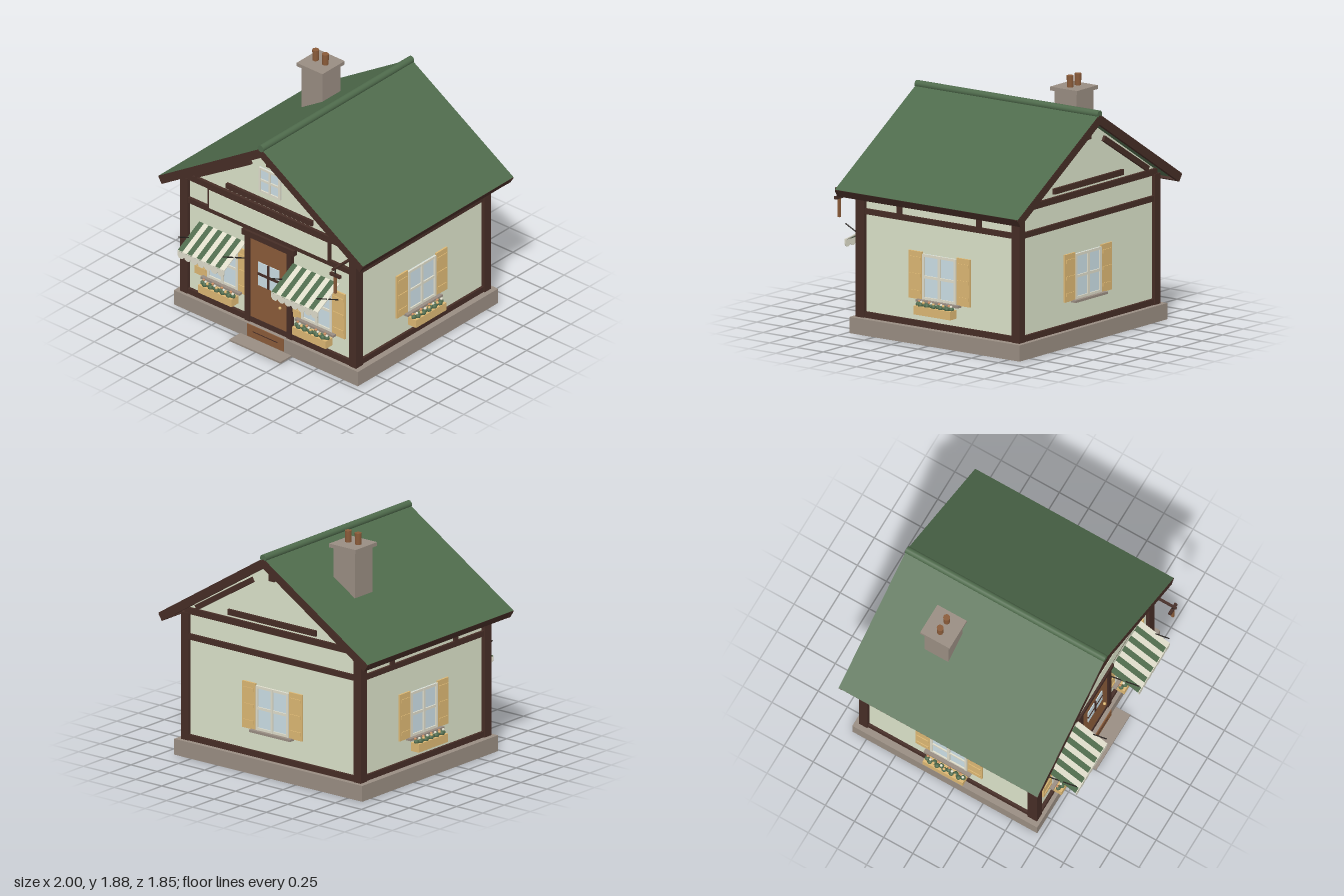
import * as THREE from 'three';

const mat = (name, color) => Object.assign(new THREE.MeshStandardMaterial({ color }), { name });

export function createModel() {
  const wall = mat('pale plaster', 0xdbe2c9), trim = mat('dark timber', 0x462d26);
  const green = mat('roof green', 0x4f6b4c), stone = mat('grey stone', 0x998d82);
  const wood = mat('door wood', 0x8a5b39), tan = mat('shutter tan', 0xdcb773);
  const glass = mat('window glass', 0xcbdee5), cream = mat('cream', 0xdfddcb);
  const iron = mat('dark iron', 0x2b2622), blossom = mat('blossom', 0xc98d62);

  const model = new THREE.Group();
  model.name = 'cottage';

  const add = (parent, name, geo, material, x = 0, y = 0, z = 0) => {
    const m = new THREE.Mesh(geo, material);
    m.name = name;
    m.position.set(x, y, z);
    parent.add(m);
    return m;
  };
  // Box given by its limits on each axis
  const box = (p, name, m, x0, x1, y0, y1, z0, z1) =>
    add(p, name, new THREE.BoxGeometry(x1 - x0, y1 - y0, z1 - z0), m, (x0 + x1) / 2, (y0 + y1) / 2, (z0 + z1) / 2);
  // Outline pushed along z
  const prism = (p, name, m, pts, z0, z1) =>
    add(p, name, new THREE.ExtrudeGeometry(new THREE.Shape(pts.map(([x, y]) => new THREE.Vector2(x, y))),
      { depth: z1 - z0, bevelEnabled: false }), m, 0, 0, z0);
  // Thin round bar between two points
  const rod = (p, name, m, a, b, r) => {
    const A = new THREE.Vector3(...a), B = new THREE.Vector3(...b), d = B.clone().sub(A);
    const mesh = add(p, name, new THREE.CylinderGeometry(r, r, d.length(), 8), m);
    mesh.position.copy(A).add(B).multiplyScalar(0.5);
    mesh.quaternion.setFromUnitVectors(new THREE.Vector3(0, 1, 0), d.normalize());
  };

  // Base, walls and front step
  box(model, 'foundation', stone, -0.9, 0.9, 0.012, 0.135, -0.87, 0.715);
  box(model, 'underside', wood, -0.83, 0.83, 0.006, 0.03, -0.81, 0.66);
  box(model, 'frontStep', stone, -0.25, 0.25, 0.008, 0.022, 0.66, 0.84);
  prism(model, 'walls', wall, [[-0.83, 0.13], [0.83, 0.13], [0.83, 1.155], [0, 1.675], [-0.83, 1.155]], -0.81, 0.66);

  // Roof: green slab with timber ends, and bargeboards just under its top
  const chevron = (top, t) => [[-1, 1.11], [-1 + t * 0.5, 1.11 - t * 0.78], [0, 1.735 - t * 1.09],
    [1 - t * 0.5, 1.11 - t * 0.78], [1, 1.11], [0, 1.735]].map(([x, y]) => [x, y - top]);
  prism(model, 'roof', [trim, green], chevron(0, 0.05), -0.929, 0.774);
  prism(model, 'frontBargeboard', trim, chevron(0.008, 0.065), 0.745, 0.775);
  prism(model, 'backBargeboard', trim, chevron(0.008, 0.065), -0.93, -0.9);
  for (const s of [-1, 1]) {
    const pts = [[s * 0.99, 1.115], [s, 1.108], [s * 0.966, 1.052], [s * 0.951, 1.062]];
    prism(model, 'eaveFascia', trim, s < 0 ? pts.reverse() : pts, -0.928, 0.773);
  }
  add(model, 'ridgeCap', new THREE.CylinderGeometry(0.028, 0.028, 1.705, 16), green, 0, 1.735, -0.077).rotation.x = Math.PI / 2;

  // Chimney with two pots
  box(model, 'chimney', stone, -0.51, -0.305, 1.3, 1.78, -0.48, -0.275);
  box(model, 'chimneyCap', stone, -0.535, -0.282, 1.773, 1.802, -0.502, -0.25);
  for (const x of [-0.457, -0.362])
    add(model, 'chimneyPot', new THREE.CylinderGeometry(0.026, 0.024, 0.09, 16), wood, x, 1.845, -0.376);

  // Corner posts and horizontal beams
  for (const s of [-1, 1]) {
    const [a, b] = s < 0 ? [-0.86, -0.79] : [0.79, 0.86];
    box(model, 'cornerPost', trim, a, b, 0.13, 1.125, 0.61, 0.69);
    box(model, 'cornerPost', trim, a, b, 0.13, 1.125, -0.837, -0.765);
    const [c, d] = s < 0 ? [-0.85, -0.8] : [0.8, 0.85];
    box(model, 'sideSillBeam', trim, c, d, 0.132, 0.18, -0.8, 0.65);
    box(model, 'sideMiddleBeam', trim, c, d, 0.92, 0.962, -0.8, 0.65);
    box(model, 'sideTopBeam', trim, c, d, 1.055, 1.11, -0.8, 0.65);
    for (const z of [0.295, -0.447]) box(model, 'sideStud', trim, c, d, 0.95, 1.08, z - 0.021, z + 0.021);
  }
  // Gable timbers, front and back
  for (const [z0, z1] of [[0.64, 0.685], [-0.832, -0.79]]) {
    box(model, 'sillBeam', trim, -0.82, 0.82, 0.135, 0.18, z0, z1);
    box(model, 'middleBeam', trim, -0.82, 0.82, 0.92, 0.963, z0, z1);
    box(model, 'tieBeam', trim, -0.83, 0.83, 1.118, 1.166, z0, z1);
    box(model, 'gableBar', trim, -0.42, 0.42, 1.187, 1.23, z0, z1);
    box(model, 'kingPost', trim, -0.026, 0.026, 1.53, 1.68, z0, z1);
    for (const s of [-1, 1]) {
      const brace = add(model, 'gableBrace', new THREE.BoxGeometry(0.63, 0.042, z1 - z0), trim, s * 0.456, 1.342, (z0 + z1) / 2);
      brace.rotation.z = -s * 0.545;
    }
  }
  // Front frieze panel with a thin border
  box(model, 'friezeBorder', trim, -0.595, 0.595, 0.945, 1.13, 0.65, 0.686);
  box(model, 'friezePanel', wall, -0.58, 0.58, 0.958, 1.112, 0.66, 0.69);

  // Four-pane window; z = 0 is the wall face
  const panes = (p, x0, x1, y0, y1, b) => {
    const cx = (x0 + x1) / 2, cy = (y0 + y1) / 2, h = b / 2;
    box(p, 'windowGlass', glass, x0, x1, y0, y1, 0, 0.006);
    for (const [a, c] of [[x0, x0 + b], [cx - h, cx + h], [x1 - b, x1]]) box(p, 'windowUpright', cream, a, c, y0, y1, 0, 0.018);
    for (const [a, c] of [[y0, y0 + b], [cy - h, cy + h], [y1 - b, y1]]) box(p, 'windowRail', cream, x0, x1, a, c, 0, 0.016);
  };

  // Shuttered window with sill and optional flower box
  const shutteredWindow = (name, x, z, turn, { half = 0.157, shutterX = 0.223, y0 = 0.342, y1 = 0.703, flowers = true } = {}) => {
    const g = new THREE.Group();
    g.name = name;
    g.position.set(x, 0, z);
    g.rotation.y = turn;
    model.add(g);
    panes(g, -half, half, 0.345, 0.69, 0.02);
    for (const s of [-1, 1]) {
      const sx = s * shutterX;
      box(g, 'shutter', tan, sx - 0.062, sx + 0.062, y0, y1, 0, 0.014);
      for (const t of [0.15, 0.5, 0.85]) {
        const y = y0 + t * (y1 - y0);
        box(g, 'shutterBatten', tan, sx - 0.05, sx + 0.05, y - 0.013, y + 0.013, 0.01, 0.02);
      }
    }
    box(g, 'windowSill', stone, -half - 0.04, half + 0.04, 0.328, 0.346, 0, 0.045);
    if (!flowers) return;
    const w = half + 0.014;
    box(g, 'flowerBox', tan, -w, w, 0.245, 0.31, 0.025, 0.102);
    for (let i = 0; i < 11; i++) {
      const fx = (i - 5) * w * 0.18;
      add(g, 'leaves', new THREE.IcosahedronGeometry(0.02, 1), green, fx, 0.318, 0.065 + (i % 2) * 0.015);
      add(g, 'flower', new THREE.IcosahedronGeometry(0.011, 1), [blossom, cream, tan][i % 3], fx, 0.338, 0.055 + (i % 3) * 0.014);
    }
  };
  const front = { half: 0.15, shutterX: 0.212, y0: 0.332, y1: 0.716 };
  shutteredWindow('frontRightWindow', -0.46, 0.66, 0, front);
  shutteredWindow('frontLeftWindow', 0.46, 0.66, 0, front);
  shutteredWindow('leftWindow', 0.83, -0.077, Math.PI / 2);
  shutteredWindow('rightWindow', -0.83, -0.077, -Math.PI / 2);
  shutteredWindow('backWindow', 0, -0.81, Math.PI, { flowers: false });

  const attic = new THREE.Group();
  attic.name = 'gableWindow';
  attic.position.z = 0.66;
  model.add(attic);
  panes(attic, -0.105, 0.105, 1.283, 1.492, 0.017);

  // Door with frame, panes and knob
  box(model, 'door', wood, -0.18, 0.18, 0.18, 0.87, 0.64, 0.68);
  box(model, 'doorKickBoard', wood, -0.178, 0.178, 0.03, 0.134, 0.7, 0.722);
  box(model, 'kickBoardGroove', trim, -0.12, 0.12, 0.083, 0.089, 0.72, 0.725);
  for (const s of [-1, 1]) box(model, 'doorJamb', trim, s * 0.204 - 0.024, s * 0.204 + 0.024, 0.135, 0.875, 0.64, 0.692);
  box(model, 'doorLintel', trim, -0.255, 0.255, 0.866, 0.913, 0.64, 0.698);
  const doorWindow = new THREE.Group();
  doorWindow.name = 'doorWindow';
  doorWindow.position.z = 0.68;
  model.add(doorWindow);
  for (const sx of [-1, 1]) for (const sy of [-1, 1])
    box(doorWindow, 'doorPane', glass, sx * 0.056 - 0.046, sx * 0.056 + 0.046, 0.58 + sy * 0.056 - 0.044, 0.58 + sy * 0.056 + 0.044, 0, 0.006);
  box(doorWindow, 'doorMullion', trim, -0.01, 0.01, 0.48, 0.68, 0, 0.009);
  box(doorWindow, 'doorMullion', trim, -0.105, 0.105, 0.569, 0.591, 0, 0.009);
  add(model, 'doorKnob', new THREE.SphereGeometry(0.012, 12, 8), tan, 0.12, 0.37, 0.695);

  // Striped awnings with scalloped valance and support rods
  const stripes = 10, scallops = 7, width = 0.455;
  for (const cx of [-0.458, 0.458]) {
    const g = new THREE.Group();
    g.name = 'awning';
    g.position.x = cx;
    model.add(g);
    const w = width / stripes;
    for (let i = 0; i < stripes; i++) {
      const s = add(g, 'awningStripe', new THREE.BoxGeometry(w, 0.008, 0.285), i % 2 ? cream : green,
        -width / 2 + (i + 0.5) * w, 0.722, 0.798);
      s.rotation.x = 0.505;
    }
    const v = new THREE.Shape(), r = width / scallops / 2;
    v.moveTo(-width / 2, 0.66);
    v.lineTo(-width / 2, 0.628);
    for (let i = 0; i < scallops; i++) v.absellipse(-width / 2 + (2 * i + 1) * r, 0.628, r, 0.031, Math.PI, 2 * Math.PI, false);
    v.lineTo(width / 2, 0.66);
    add(g, 'awningValance', new THREE.ExtrudeGeometry(v, { depth: 0.008, bevelEnabled: false, curveSegments: 8 }), cream, 0, 0, 0.916);
    for (const s of [-1, 1]) rod(g, 'awningRod', iron, [s * 0.218, 0.65, 0.67], [s * 0.218, 0.775, 0.922], 0.005);
  }

  // Hanging bracket at the front corner
  box(model, 'bracketArm', trim, 0.807, 0.825, 1.062, 1.078, 0.66, 0.905);
  rod(model, 'bracketHook', iron, [0.816, 1.07, 0.872], [0.816, 1.01, 0.872], 0.005);
  box(model, 'hangerCrossbar', trim, 0.768, 0.866, 0.998, 1.02, 0.86, 0.884);
  box(model, 'hangerStick', wood, 0.808, 0.824, 0.856, 1.0, 0.863, 0.882);

  return model;
}
